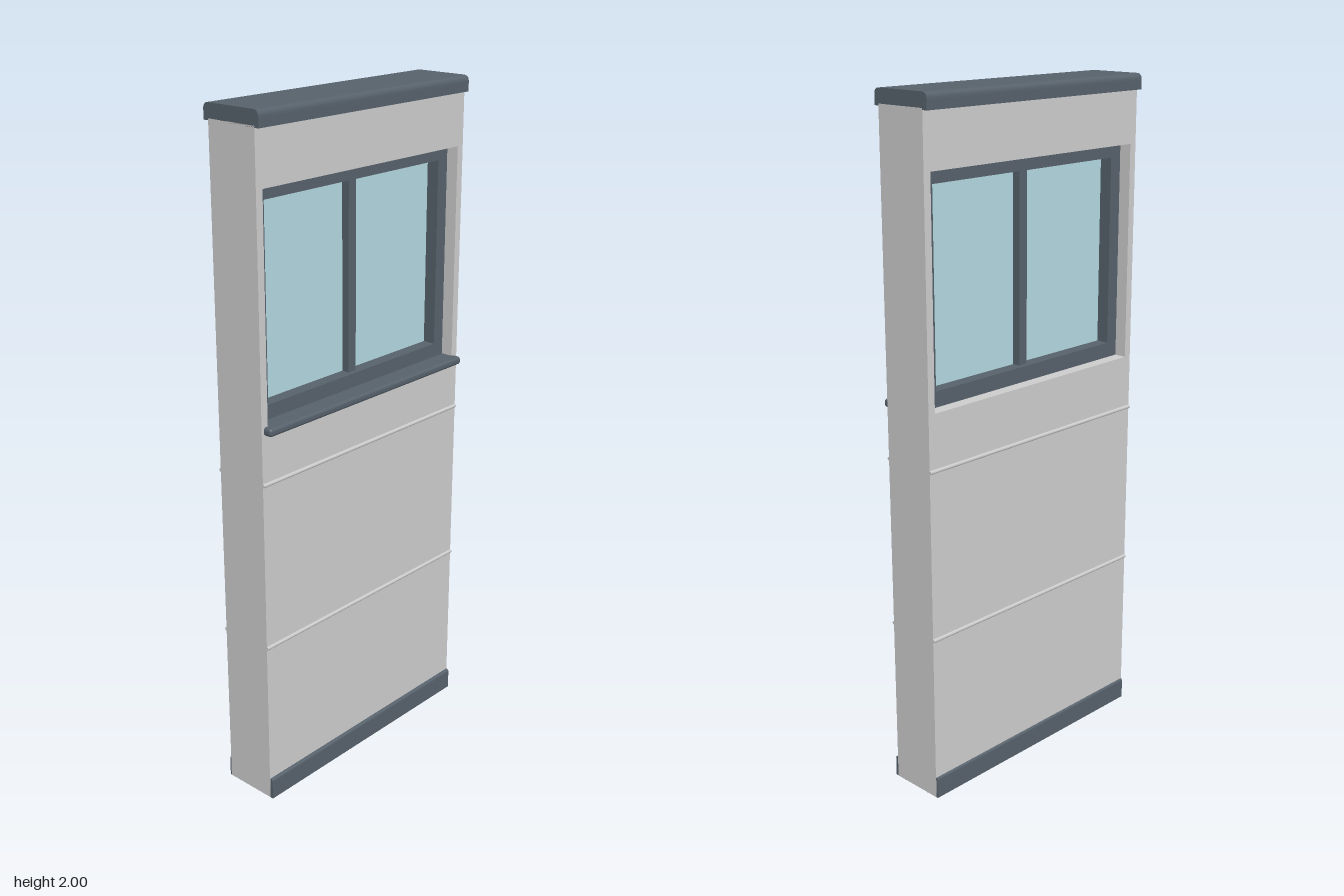
import * as THREE from 'three';
import { RoundedBoxGeometry } from 'three/addons/geometries/RoundedBoxGeometry.js';

const W = 0.83;          // panel width
const ZC = -0.005;       // middle of the wall thickness
const T = 0.165;         // wall thickness
const wallMat = new THREE.MeshStandardMaterial({ color: 0xcccccc });
const trimMat = new THREE.MeshStandardMaterial({ color: 0x56616b });
const glassMat = new THREE.MeshStandardMaterial({ color: 0xb2d6de });

function add(parent, name, geometry, material, x = 0, y = 0, z = 0) {
  const mesh = new THREE.Mesh(geometry, material);
  mesh.name = name;
  mesh.position.set(x, y, z);
  parent.add(mesh);
  return mesh;
}

function rectPath(PathType, x0, y0, x1, y1) {
  return new PathType([[x0, y0], [x1, y0], [x1, y1], [x0, y1]].map(p => new THREE.Vector2(...p)));
}

// Rectangle with a rectangular hole, extruded and centred on the wall
function framed(outer, inner, depth) {
  const shape = rectPath(THREE.Shape, ...outer);
  shape.holes.push(rectPath(THREE.Path, ...inner));
  return new THREE.ExtrudeGeometry(shape, { depth, bevelEnabled: false })
    .translate(0, 0, ZC - depth / 2);
}

// Cross-section drawn in (z, y), swept along x
function swept(shape, width) {
  return new THREE.ExtrudeGeometry(shape, { depth: width, bevelEnabled: false, curveSegments: 6 })
    .translate(0, 0, -width / 2).rotateY(-Math.PI / 2);
}

// Section with softened top corners
function softTopped(z0, z1, y0, y1, r) {
  const s = new THREE.Shape();
  s.moveTo(z0, y0);
  s.lineTo(z1, y0);
  s.lineTo(z1, y1 - r);
  s.quadraticCurveTo(z1, y1, z1 - r, y1);
  s.lineTo(z0 + r, y1);
  s.quadraticCurveTo(z0, y1, z0, y1 - r);
  s.closePath();
  return s;
}

export function createModel() {
  const group = new THREE.Group();
  group.name = 'windowWallPanel';

  // Wall with the window opening
  const opening = [-0.392, 1.165, 0.392, 1.802];
  add(group, 'wall', framed([-W / 2, 0.001, W / 2, 1.96], opening, T), wallMat);

  // Plinth and coping
  add(group, 'plinth', swept(softTopped(-0.093, 0.087, 0, 0.065, 0.008), W - 0.002), trimMat);
  add(group, 'coping', swept(softTopped(-0.104, 0.092, 1.955, 2, 0.018), W), trimMat);

  // Slim horizontal ribs on both faces
  for (const y of [0.5, 1.0]) {
    for (const side of [-1, 1]) {
      const rib = new THREE.CylinderGeometry(0.006, 0.006, W, 8).rotateZ(Math.PI / 2);
      add(group, 'jointRib', rib, wallMat, 0, y + 0.003, ZC + side * T / 2);
    }
  }

  // Window: frame, centre mullion and two panes
  const win = new THREE.Group();
  win.name = 'window';
  group.add(win);
  add(win, 'frame', framed(opening, [-0.352, 1.21, 0.352, 1.763], 0.09), trimMat);
  add(win, 'mullion', new THREE.BoxGeometry(0.03, 0.555, 0.06), trimMat, 0, 1.4865, ZC);
  for (const side of [-1, 1]) {
    add(win, 'pane', new THREE.BoxGeometry(0.342, 0.555, 0.012), glassMat, side * 0.182, 1.4865, ZC);
  }

  // Projecting front sill
  add(group, 'sill', new RoundedBoxGeometry(0.814, 0.024, 0.068, 3, 0.009), trimMat, 0, 1.158, 0.069);

  return group;
}
